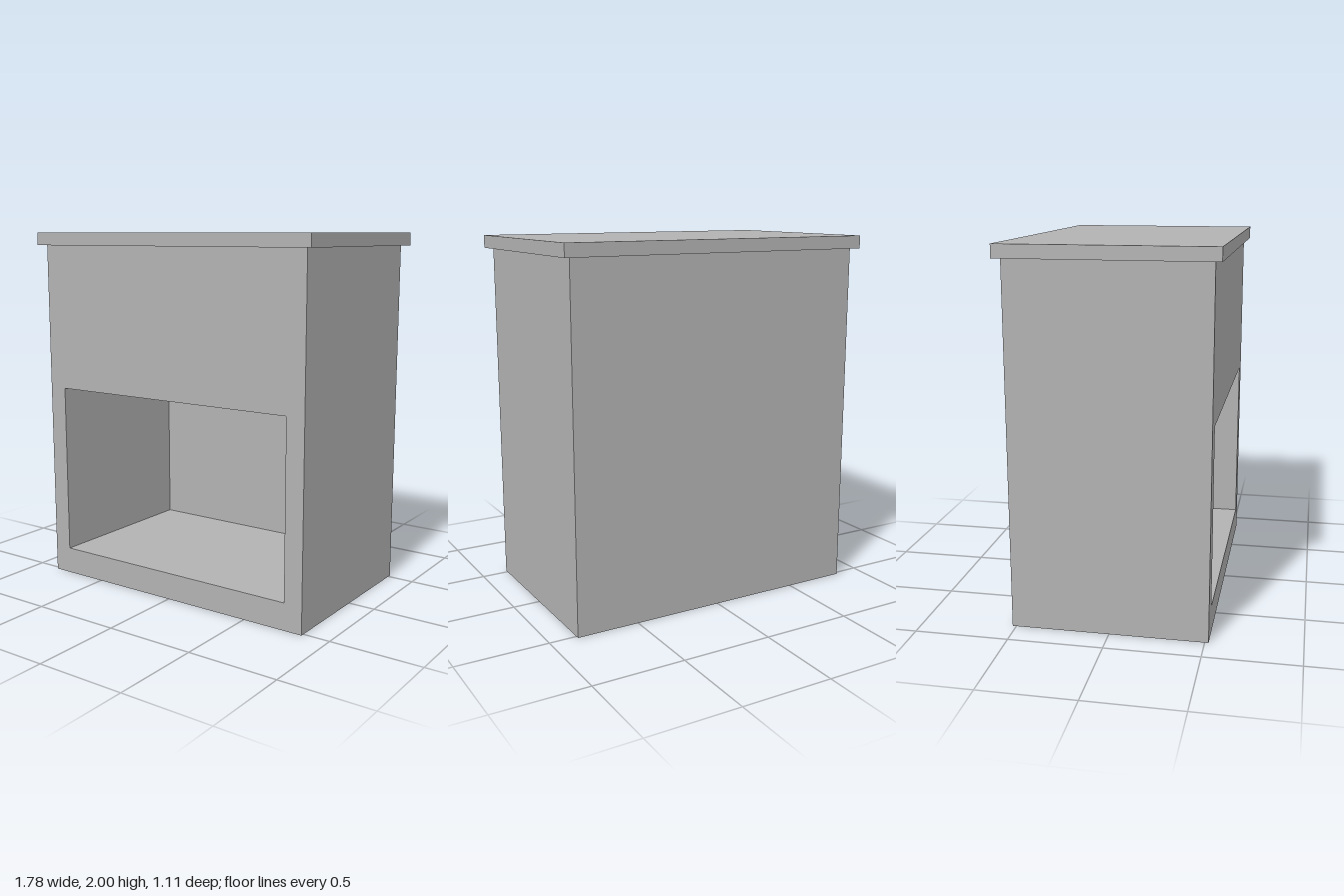
import * as THREE from 'three';

// Outlines a centred rectangle between two heights
function rectangle(target, halfWidth, bottom, top) {
  target.moveTo(-halfWidth, bottom);
  target.lineTo(halfWidth, bottom);
  target.lineTo(halfWidth, top);
  target.lineTo(-halfWidth, top);
  target.closePath();
  return target;
}

export function createModel() {
  const group = new THREE.Group();
  group.name = 'cabinet';

  const grey = new THREE.MeshStandardMaterial({ color: 0xb2b2b2 });
  grey.name = 'grey';

  const width = 1.7, front = 0.52, back = -0.52, nicheBack = -0.45, bodyTop = 1.93;

  const add = (name, geometry, x, y, z) => {
    const mesh = new THREE.Mesh(geometry, grey);
    mesh.name = name;
    mesh.position.set(x, y, z);
    group.add(mesh);
  };

  // Body with an open niche in the lower front
  const outline = rectangle(new THREE.Shape(), width / 2, 0, bodyTop);
  outline.holes.push(rectangle(new THREE.Path(), 0.745, 0.15, 1.115));
  const body = new THREE.ExtrudeGeometry(outline, { depth: front - nicheBack, bevelEnabled: false });
  add('body', body, 0, 0, nicheBack);

  // Panel closing the back
  const panelDepth = nicheBack - back;
  add('backPanel', new THREE.BoxGeometry(width, bodyTop, panelDepth), 0, bodyTop / 2, back + panelDepth / 2);

  // Overhanging top board
  add('topBoard', new THREE.BoxGeometry(1.78, 2 - bodyTop, 1.11), 0, (2 + bodyTop) / 2, 0);

  return group;
}
